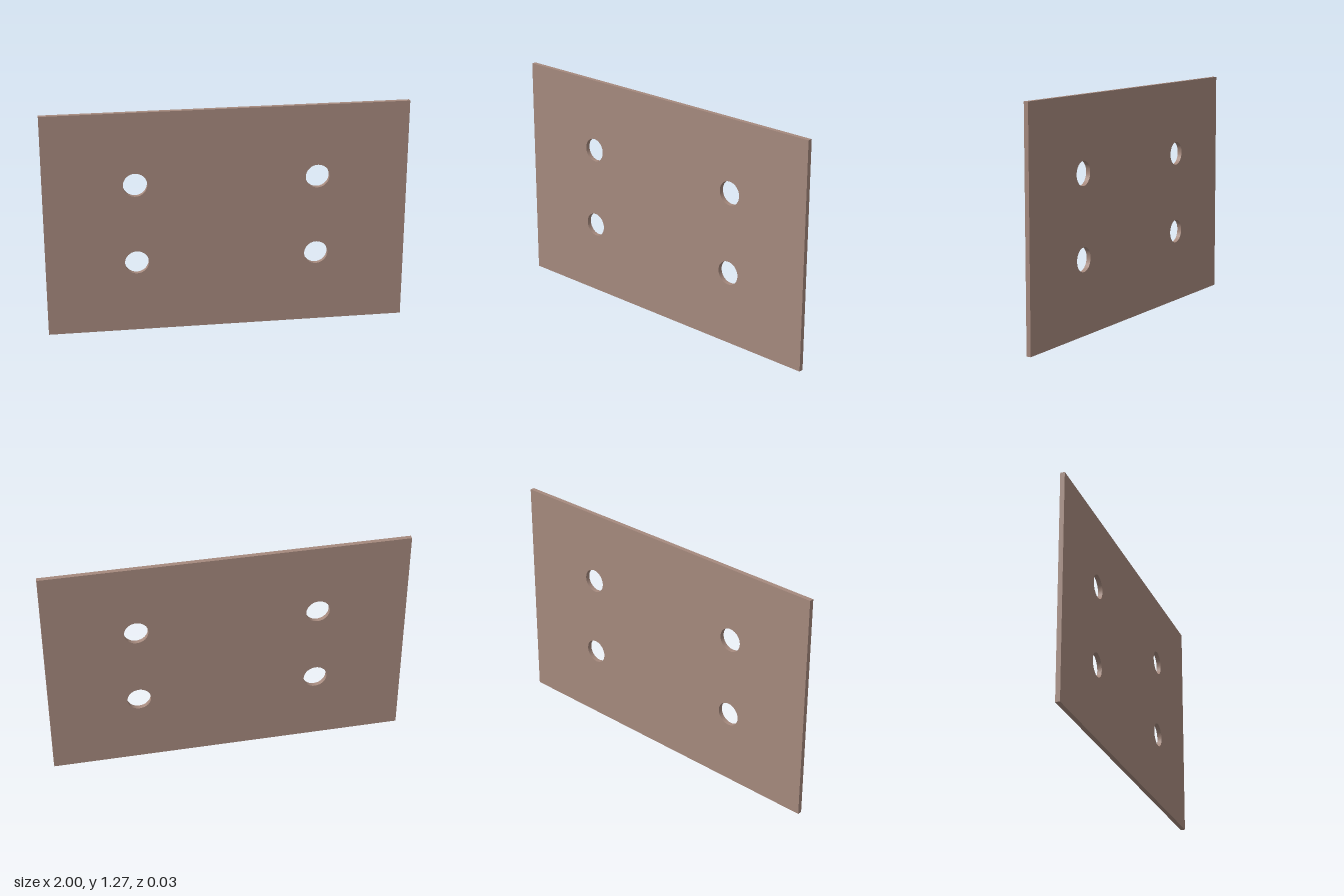
import * as THREE from 'three';

const WIDTH = 2, HEIGHT = 1.273, THICKNESS = 0.025;
const HOLE_RADIUS = 0.066, HOLE_X = 0.5, HOLE_Y = 0.227;

export function createModel() {
  const group = new THREE.Group();
  group.name = 'mountingPlate';

  // Rectangular outline standing on the ground
  const outline = new THREE.Shape([
    new THREE.Vector2(-WIDTH / 2, 0),
    new THREE.Vector2(WIDTH / 2, 0),
    new THREE.Vector2(WIDTH / 2, HEIGHT),
    new THREE.Vector2(-WIDTH / 2, HEIGHT),
  ]);

  // Four round through-holes, symmetric about the plate centre
  for (const sx of [-1, 1]) {
    for (const sy of [-1, 1]) {
      const hole = new THREE.Path();
      hole.absarc(sx * HOLE_X, HEIGHT / 2 + sy * HOLE_Y, HOLE_RADIUS, 0, Math.PI * 2, true);
      outline.holes.push(hole);
    }
  }

  // Thin flat plate, centred in depth
  const geometry = new THREE.ExtrudeGeometry(outline, {
    depth: THICKNESS, bevelEnabled: false, curveSegments: 48,
  });
  geometry.translate(0, 0, -THICKNESS / 2);

  const plate = new THREE.Mesh(geometry, new THREE.MeshStandardMaterial({ color: 0xa5897d }));
  plate.name = 'plate';
  group.add(plate);
  return group;
}
